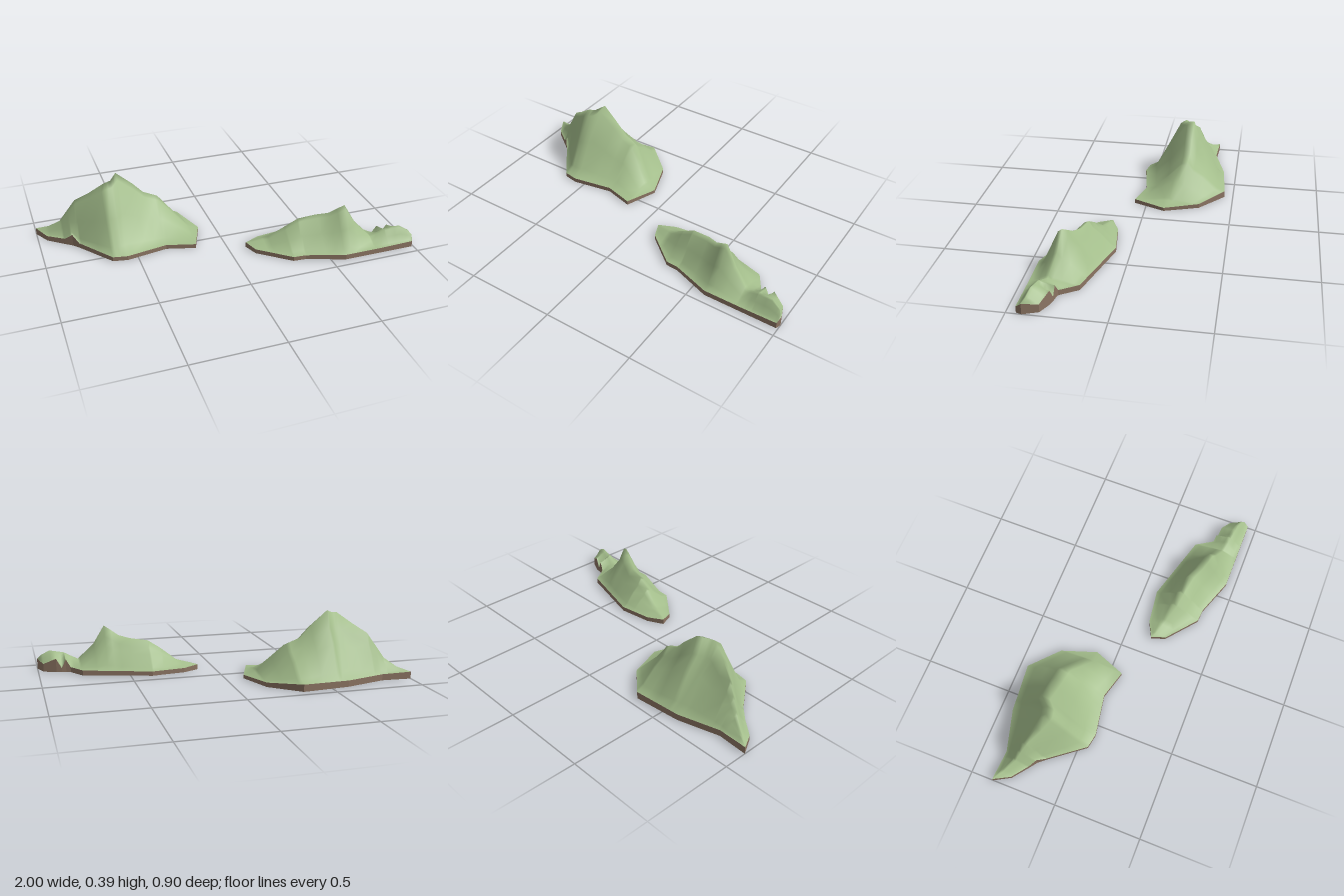
import * as THREE from 'three';
import { mergeVertices } from 'three/addons/utils/BufferGeometryUtils.js';

// Slope profiles from edge to ridge: [distance fraction, height fraction]
const FRONT = [[0, 0], [0.23, 0.09], [0.54, 0.5], [0.85, 0.93]];
const BACK = [[0.84, 0.74], [0.56, 0.52], [0.2, 0.11], [0, 0]];

// Each line is a list of [x, z, y] points, running from low x to high x
const LARGE = {
  front: [[-1, -0.37, 0.04], [-0.95, -0.28, 0.03], [-0.86, -0.21, 0.035], [-0.82, -0.18, 0.07], [-0.79, -0.145, 0.03],
    [-0.64, 0.05, 0.025], [-0.56, 0.065, 0.025], [-0.33, 0.025, 0.025], [-0.17, 0.07, 0.025], [-0.1, -0.11, 0.02]],
  ridge: [[-1, -0.37, 0.04], [-0.93, -0.33, 0.065], [-0.87, -0.29, 0.11], [-0.78, -0.25, 0.25], [-0.7, -0.21, 0.305],
    [-0.62, -0.18, 0.365], [-0.58, -0.19, 0.37], [-0.54, -0.235, 0.39], [-0.45, -0.23, 0.31], [-0.39, -0.23, 0.245],
    [-0.31, -0.22, 0.21], [-0.24, -0.18, 0.13], [-0.16, -0.13, 0.04], [-0.1, -0.11, 0.02]],
  back: [[-1, -0.37, 0.04], [-0.83, -0.36, 0.035], [-0.6, -0.425, 0.035], [-0.33, -0.45, 0.04],
    [-0.17, -0.31, 0.025], [-0.1, -0.11, 0.02]],
};
const SMALL = {
  front: [[0.1, 0.15, 0.03], [0.13, 0.23, 0.025], [0.3, 0.37, 0.025], [0.37, 0.375, 0.025], [0.58, 0.45, 0.03],
    [0.8, 0.45, 0.03], [0.99, 0.45, 0.035], [1, 0.42, 0.06]],
  ridge: [[0.1, 0.15, 0.03], [0.22, 0.18, 0.06], [0.31, 0.21, 0.13], [0.38, 0.225, 0.175], [0.48, 0.24, 0.19],
    [0.54, 0.27, 0.205], [0.62, 0.305, 0.26], [0.68, 0.32, 0.155], [0.77, 0.35, 0.06], [0.85, 0.37, 0.1],
    [0.93, 0.385, 0.113], [0.98, 0.4, 0.085], [1, 0.42, 0.06]],
  back: [[0.1, 0.15, 0.03], [0.19, 0.105, 0.025], [0.38, 0.08, 0.025], [0.76, 0.19, 0.03], [0.82, 0.285, 0.03],
    [0.845, 0.293, 0.075], [0.87, 0.297, 0.025], [0.9, 0.305, 0.08], [0.97, 0.34, 0.045], [1, 0.42, 0.06]],
};

// Linear lookup of [z, y] along a line
function sample(line, x) {
  let i = 1;
  while (i < line.length - 1 && line[i][0] < x) i++;
  const [a, b] = [line[i - 1], line[i]];
  const t = (x - a[0]) / (b[0] - a[0]);
  return [a[1] + (b[1] - a[1]) * t, a[2] + (b[2] - a[2]) * t];
}

function geometryFrom(positions) {
  const g = new THREE.BufferGeometry();
  g.setAttribute('position', new THREE.Float32BufferAttribute(positions, 3));
  return g;
}

function makeHill(name, lines, grass, earth) {
  const xs = [...new Set(Object.values(lines).flat().map((p) => p[0]))].sort((a, b) => a - b);

  // One cross-section per x, from the front edge over the ridge to the back edge
  const sections = xs.map((x) => {
    const [f, r, b] = [lines.front, lines.ridge, lines.back].map((l) => sample(l, x));
    const slope = (edge, profile) => profile.map(([t, h]) =>
      [x, edge[1] + (r[1] - edge[1]) * h, edge[0] + (r[0] - edge[0]) * t]);
    return [...slope(f, FRONT), [x, r[1], r[0]], ...slope(b, BACK)];
  });

  const top = [];
  const base = [];
  const quad = (out, a, b, c, d) => out.push(...a, ...b, ...c, ...a, ...c, ...d);
  const ground = (p) => [p[0], 0, p[2]];
  for (let i = 0; i < sections.length - 1; i++) {
    const [s, n] = [sections[i], sections[i + 1]];
    for (let j = 0; j < s.length - 1; j++) quad(top, s[j], n[j], n[j + 1], s[j + 1]);
    // front wall, back wall and underside
    const [sf, nf, sb, nb] = [s[0], n[0], s[s.length - 1], n[n.length - 1]];
    quad(base, ground(sf), ground(nf), nf, sf);
    quad(base, ground(nb), ground(sb), sb, nb);
    quad(base, ground(sf), ground(sb), ground(nb), ground(nf));
  }

  const slopes = mergeVertices(geometryFrom(top));
  slopes.computeVertexNormals();
  const rim = geometryFrom(base);
  rim.computeVertexNormals();

  const hill = new THREE.Group();
  hill.name = name;
  const grassMesh = new THREE.Mesh(slopes, grass);
  grassMesh.name = 'grassSlopes';
  const earthMesh = new THREE.Mesh(rim, earth);
  earthMesh.name = 'earthBase';
  hill.add(grassMesh, earthMesh);
  return hill;
}

export function createModel() {
  const grass = new THREE.MeshStandardMaterial({ color: 0xa3bd8b });
  grass.name = 'grass green';
  const earth = new THREE.MeshStandardMaterial({ color: 0x8c7563 });
  earth.name = 'earth brown';

  const model = new THREE.Group();
  model.name = 'hills';
  model.add(makeHill('largeHill', LARGE, grass, earth));
  model.add(makeHill('smallHill', SMALL, grass, earth));
  return model;
}
